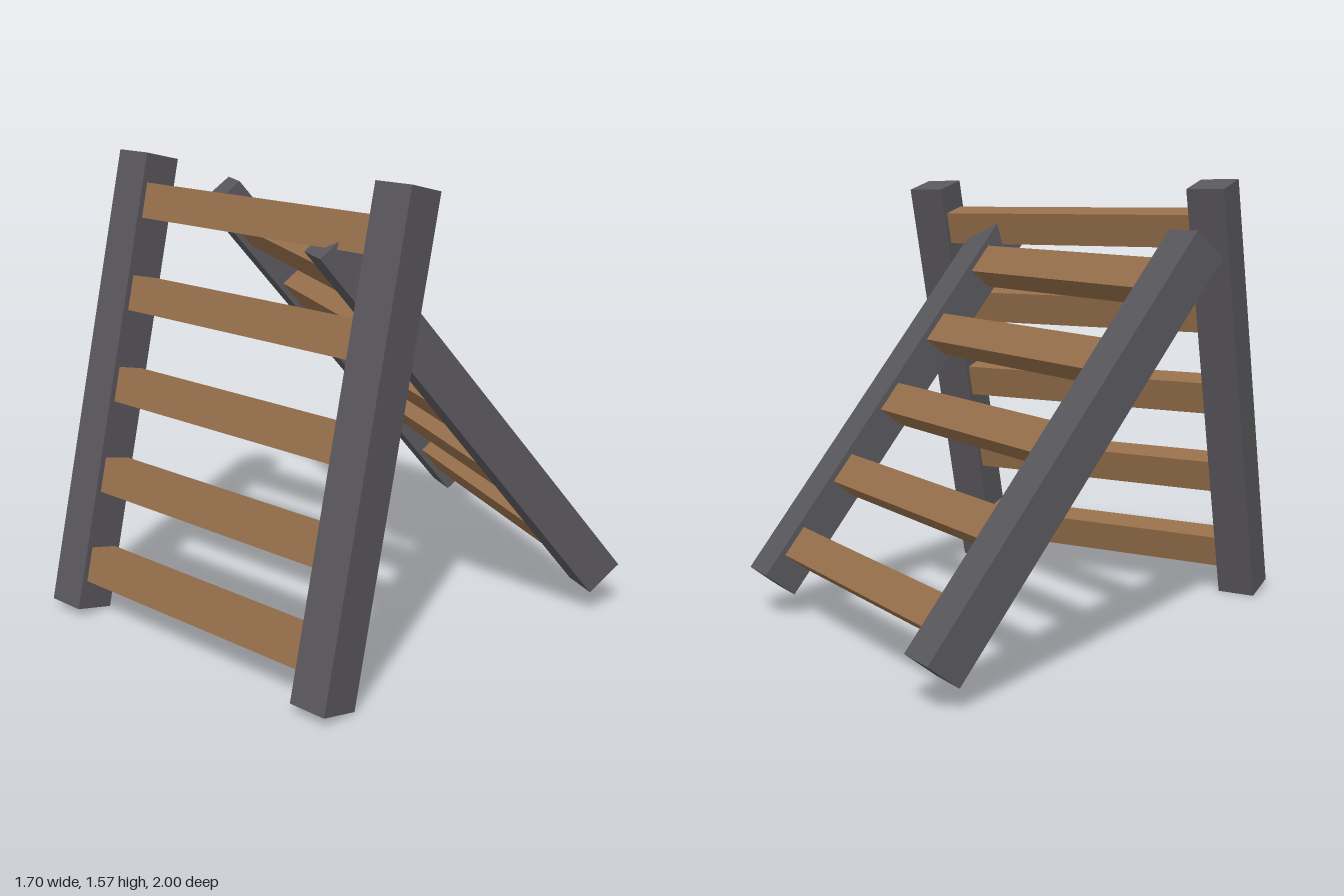
import * as THREE from 'three';

const RAIL_LENGTH = 1.588, RAIL_SIZE = 0.14, RAIL_OFFSET = 0.578;
const RUNG_COUNT = 5, RUNG_HEIGHT = 0.12, RUNG_DEPTH = 0.1;

const railMaterial = new THREE.MeshStandardMaterial({ color: 0x59575c });
const rungMaterial = new THREE.MeshStandardMaterial({ color: 0x966f4b });

function addBox(parent, name, material, [w, h, d], [x, y, z]) {
  const mesh = new THREE.Mesh(new THREE.BoxGeometry(w, h, d), material);
  mesh.name = name;
  mesh.position.set(x, y, z);
  parent.add(mesh);
}

// Upright ladder centred on its own middle
function makeLadder(name) {
  const ladder = new THREE.Group();
  ladder.name = name;
  for (const side of [-1, 1]) {
    addBox(ladder, side > 0 ? 'leftRail' : 'rightRail', railMaterial,
      [RAIL_SIZE, RAIL_LENGTH, RAIL_SIZE], [side * RAIL_OFFSET, 0, 0]);
  }
  // Rungs, their ends set slightly into the rails
  const rungLength = 2 * RAIL_OFFSET - RAIL_SIZE + 0.02;
  for (let i = 0; i < RUNG_COUNT; i++) {
    const y = ((i + 0.5) / RUNG_COUNT - 0.5) * RAIL_LENGTH;
    addBox(ladder, `rung${i + 1}`, rungMaterial,
      [rungLength, RUNG_HEIGHT, RUNG_DEPTH], [0, y, 0]);
  }
  return ladder;
}

// Turn, lean and roll a ladder (degrees), then place its middle
function pose(ladder, turn, lean, roll, position) {
  const rad = THREE.MathUtils.degToRad;
  ladder.rotation.set(rad(lean), rad(turn), rad(roll), 'YXZ');
  ladder.position.set(...position);
  return ladder;
}

export function createModel() {
  const model = new THREE.Group();
  model.name = 'leaningLadders';
  model.add(
    pose(makeLadder('frontLadder'), -9.6, -14.4, 0, [-0.17, 0.787, 0.63]),
    pose(makeLadder('backLadder'), -36, 38.2, 0.6, [0, 0.746, -0.176]),
  );
  return model;
}
